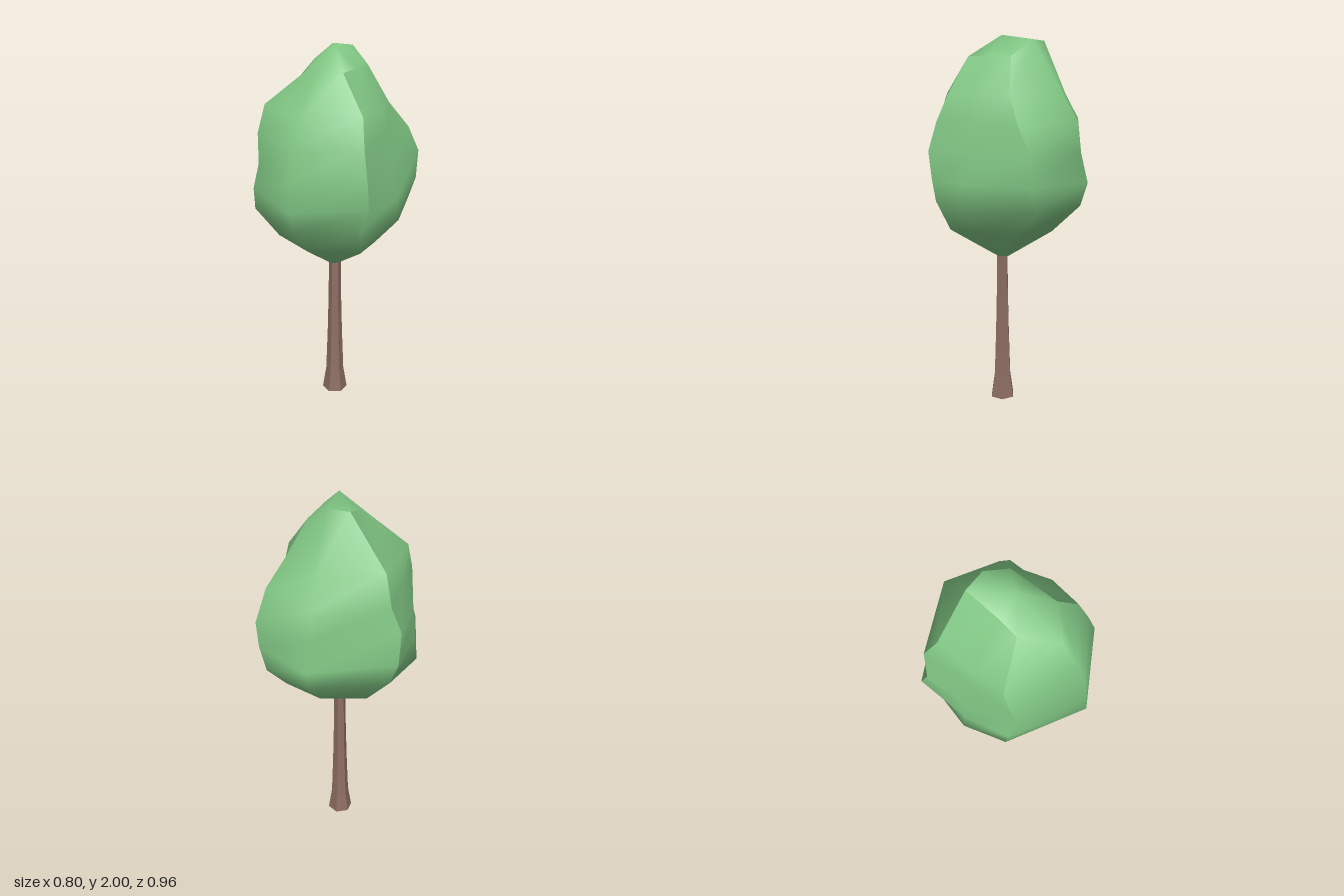
import * as THREE from 'three';
import { mergeGeometries, toCreasedNormals } from 'three/addons/utils/BufferGeometryUtils.js';

const C = 0.027; // trunk axis in x and z
const fill = (v) => Array(8).fill(v);
const levels = [0.82, 0.99, 1.14, 1.26, 1.41, 1.56, 1.70];

// Crown ribs, counter-clockwise from the front; x and z at each level, bottom to top
const ribs = [
  { top: 1.81, x: fill(C), z: [0.06, 0.31, 0.44, 0.48, 0.46, 0.44, 0.38, 0.29] },
  { top: 1.89, x: [0.05, 0.27, 0.30, 0.345, 0.345, 0.31, 0.275, 0.145], z: [0.04, 0.20, 0.27, 0.26, 0.28, 0.25, 0.20, 0.16] },
  { top: 1.89, x: [0.057, 0.27, 0.40, 0.39, 0.345, 0.315, 0.30, 0.145], z: fill(C) },
  { top: 1.89, x: [0.05, 0.25, 0.30, 0.345, 0.345, 0.32, 0.245, 0.145], z: [0.01, -0.20, -0.33, -0.31, -0.33, -0.24, -0.15, -0.10] },
  { top: 1.97, x: fill(C), z: [-0.01, -0.28, -0.44, -0.48, -0.44, -0.42, -0.33, -0.16] },
  { top: 1.97, x: [0, -0.20, -0.33, -0.375, -0.37, -0.325, -0.28, -0.09], z: [0.01, -0.20, -0.25, -0.265, -0.21, -0.25, -0.19, -0.16] },
  { top: 1.92, x: [-0.003, -0.22, -0.40, -0.385, -0.37, -0.305, -0.29, -0.09], z: fill(C) },
  { top: 1.87, x: [0, -0.22, -0.335, -0.33, -0.28, -0.30, -0.285, -0.09], z: [0.04, 0.20, 0.25, 0.265, 0.28, 0.25, 0.20, 0.12] },
];

function createCrown() {
  const rows = levels.length + 1;
  const points = ribs.flatMap((r) => r.x.map((x, j) => [x, j < rows - 1 ? levels[j] : r.top, r.z[j]]));
  const apex = points.push([C, 2, C]) - 1;
  const id = (i, j) => ((i + 8) % 8) * rows + j;

  // Four smooth panels, each two strips wide, with sharp seams between them
  const panels = [-1, 1, 3, 5].map((start) => {
    const index = [];
    for (let i = start; i < start + 2; i++) {
      for (let j = 0; j < rows - 1; j++) {
        const a = id(i, j), b = id(i + 1, j), c = id(i + 1, j + 1), d = id(i, j + 1);
        index.push(a, b, c, a, c, d);
      }
    }
    // The cap flows into the front panel
    if (start === -1) {
      for (let i = 0; i < 8; i++) index.push(id(i, rows - 1), id(i + 1, rows - 1), apex);
    }
    const g = new THREE.BufferGeometry();
    g.setAttribute('position', new THREE.Float32BufferAttribute(points.flat(), 3));
    g.setIndex(index);
    g.computeVertexNormals();
    return g;
  });
  return mergeGeometries(panels);
}

function createTrunk() {
  // Six-sided, flaring toward a closed foot
  const profile = [[0, 0], [0.07, 0], [0.05, 0.13], [0.041, 0.38], [0.035, 0.62], [0.033, 0.84]];
  const g = new THREE.LatheGeometry(profile.map(([r, y]) => new THREE.Vector2(r, y)), 6);
  g.translate(C, 0, C);
  return toCreasedNormals(g, Math.PI / 4);
}

export function createModel() {
  const group = new THREE.Group();
  group.name = 'tree';
  const add = (name, geometry, color) => {
    const mesh = new THREE.Mesh(geometry, new THREE.MeshStandardMaterial({ color }));
    mesh.name = name;
    group.add(mesh);
  };
  add('trunk', createTrunk(), 0x8d6e63);
  add('crown', createCrown(), 0x81c784);
  return group;
}
